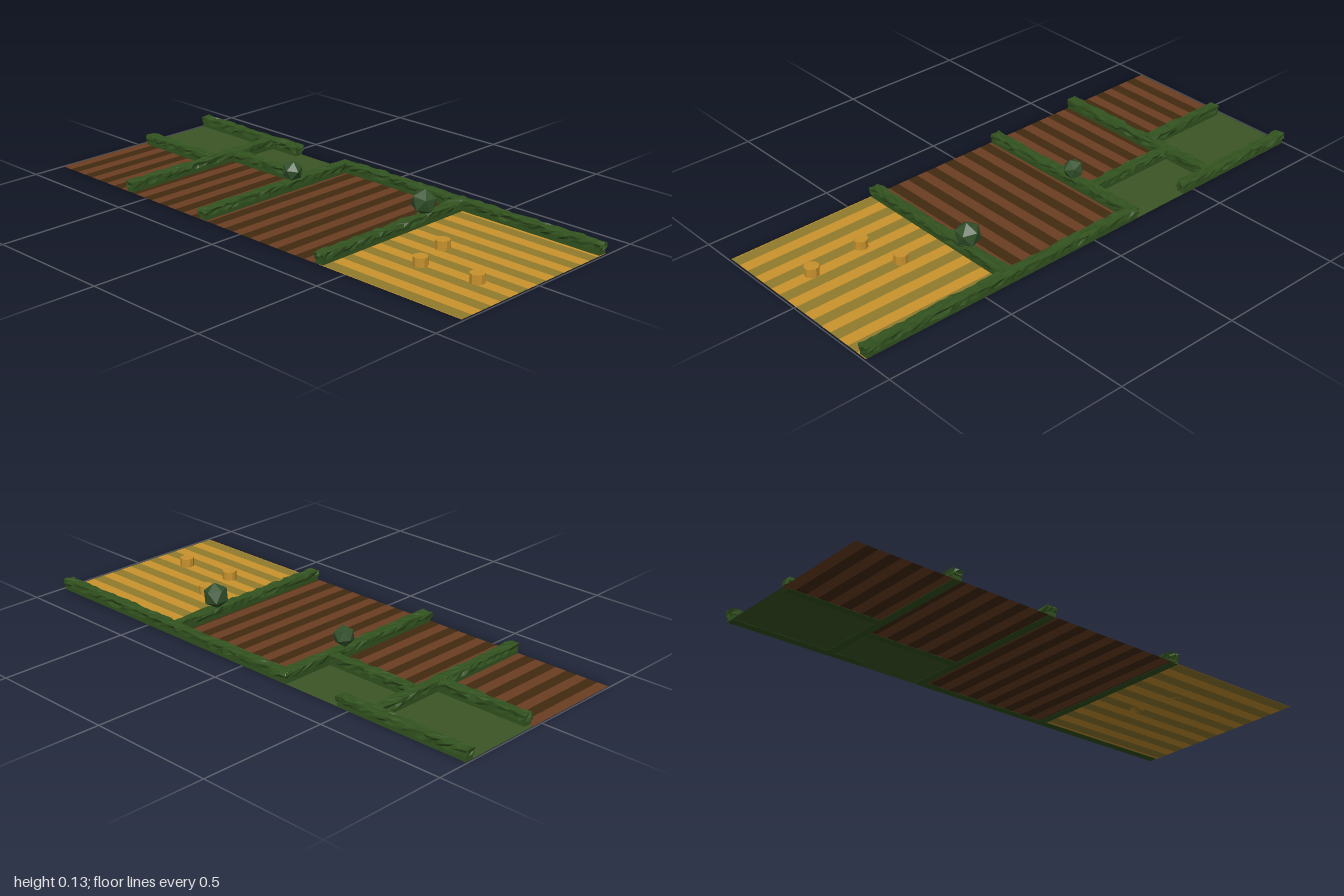
import * as THREE from 'three';

const mat = (name, color, extra = {}) => {
  const m = new THREE.MeshStandardMaterial({ color, flatShading: true, ...extra });
  m.name = name;
  return m;
};

export function createModel() {
  const root = new THREE.Group();
  root.name = 'farmFields';
  const flat = { side: THREE.DoubleSide };
  const grass = mat('grass green', 0x3b5525, flat);
  const soil = mat('soil brown', 0x6b3f23, flat);
  const furrow = mat('furrow dark brown', 0x432a10, flat);
  const wheat = mat('wheat yellow', 0xca942d, flat);
  const stubble = mat('stubble olive', 0x927b2d, flat);
  const leaf = mat('hedge green', 0x32521f);
  const bushLeaf = mat('bush green', 0x32502a);
  const straw = mat('straw', 0xc8922d);

  const add = (name, geo, m, x = 0, y = 0, z = 0, parent = root) => {
    const mesh = new THREE.Mesh(geo, m);
    mesh.name = name;
    mesh.position.set(x, y, z);
    parent.add(mesh);
    return mesh;
  };
  const group = (name) => {
    const g = new THREE.Group();
    g.name = name;
    root.add(g);
    return g;
  };
  const patch = (name, x0, x1, z0, z1, m, parent) => add(name,
    new THREE.PlaneGeometry(x1 - x0, z1 - z0).rotateX(-Math.PI / 2), m,
    (x0 + x1) / 2, 0.001, (z0 + z1) / 2, parent);

  // Alternating bands over [a, b], in phase with a shared origin
  const bands = (a, b, origin, half, draw) => {
    for (let i = Math.floor((a - origin) / half + 1e-6); origin + i * half < b - 1e-6; i++) {
      draw(Math.max(a, origin + i * half), Math.min(b, origin + (i + 1) * half), i % 2 !== 0);
    }
  };

  // Pastures
  patch('pastureLeft', -0.995, -0.6, -0.372, -0.04, grass);
  patch('pastureMiddle', -0.6, -0.2, -0.372, -0.14, grass);

  // Ploughed fields, furrows running front to back
  for (const [x0, x1, z0] of [[-0.995, -0.6, -0.04], [-0.6, -0.2, -0.14], [-0.2, 0.38, -0.372]]) {
    const g = group('ploughedField');
    bands(x0, x1, -0.995, 0.0436, (a, b, dark) =>
      patch(dark ? 'furrow' : 'ridge', a, b, z0, 0.372, dark ? furrow : soil, g));
  }

  // Wheat field, rows running left to right
  const wheatField = group('wheatField');
  bands(-0.372, 0.372, -0.372, 0.0463, (a, b, dark) =>
    patch(dark ? 'stubbleRow' : 'wheatRow', 0.38, 0.992, a, b, dark ? stubble : wheat, wheatField));

  // Hash of a position, so coincident corners move together
  const hash = (x, y, z, k) => {
    const s = Math.sin(x * 127.1 + y * 3311.7 + z * 1574.7 + k * 74.7) * 43758.5453;
    return s - Math.floor(s) - 0.5;
  };

  // Hedge: a plain lower bank with a ragged leafy crown
  const hedge = (x0, x1, z0, z1) => {
    const g = group('hedge');
    const w = x1 - x0, d = z1 - z0, cx = (x0 + x1) / 2, cz = (z0 + z1) / 2;
    add('hedgeBank', new THREE.BoxGeometry(w - 0.006, 0.024, d - 0.006), leaf, cx, 0.012, cz, g);
    const seg = (l) => Math.max(3, Math.round(l / 0.025));
    const geo = new THREE.BoxGeometry(w, 0.022, d, seg(w), 2, seg(d));
    const p = geo.attributes.position;
    for (let i = 0; i < p.count; i++) {
      const v = [p.getX(i), p.getY(i), p.getZ(i)].map((c) => Math.round(c * 1e4) / 1e4);
      const q = [v[0] + cx, v[1], v[2] + cz].map((c) => Math.round(c * 1e3) / 1e3);
      p.setXYZ(i, v[0] + 0.009 * hash(...q, 1), v[1] + 0.006 * hash(...q, 2), v[2] + 0.009 * hash(...q, 3));
    }
    geo.computeVertexNormals();
    add('hedgeCrown', geo, leaf, cx, 0.029, cz, g);
  };
  const H = 0.02;
  const alongX = (x0, x1, z) => hedge(x0, x1, z - H, z + H);
  const alongZ = (x, z0, z1) => hedge(x - H, x + H, z0, z1);
  alongX(-0.997, -0.447, -0.355);
  alongX(-0.21, 0.992, -0.355);
  alongX(-0.98, -0.6, -0.043);
  alongX(-0.58, -0.2, -0.143);
  alongZ(-0.597, -0.345, 0.372);
  alongZ(-0.195, -0.37, 0.372);
  alongZ(0.38, -0.345, 0.372);

  // Faceted bushes
  for (const [x, y, z, r, turn] of [[-0.19, 0.075, -0.066, 0.04, 0.4], [0.38, 0.084, -0.147, 0.049, 1.1]]) {
    add('bush', new THREE.IcosahedronGeometry(r, 0), bushLeaf, x, y, z).rotation.set(0.3, turn, 0.2);
  }

  // Straw bales
  for (const [x, z] of [[0.575, -0.023], [0.62, 0.14], [0.842, 0.117]]) {
    add('strawBale', new THREE.CylinderGeometry(0.027, 0.027, 0.033, 10), straw, x, 0.0175, z);
  }
  return root;
}
